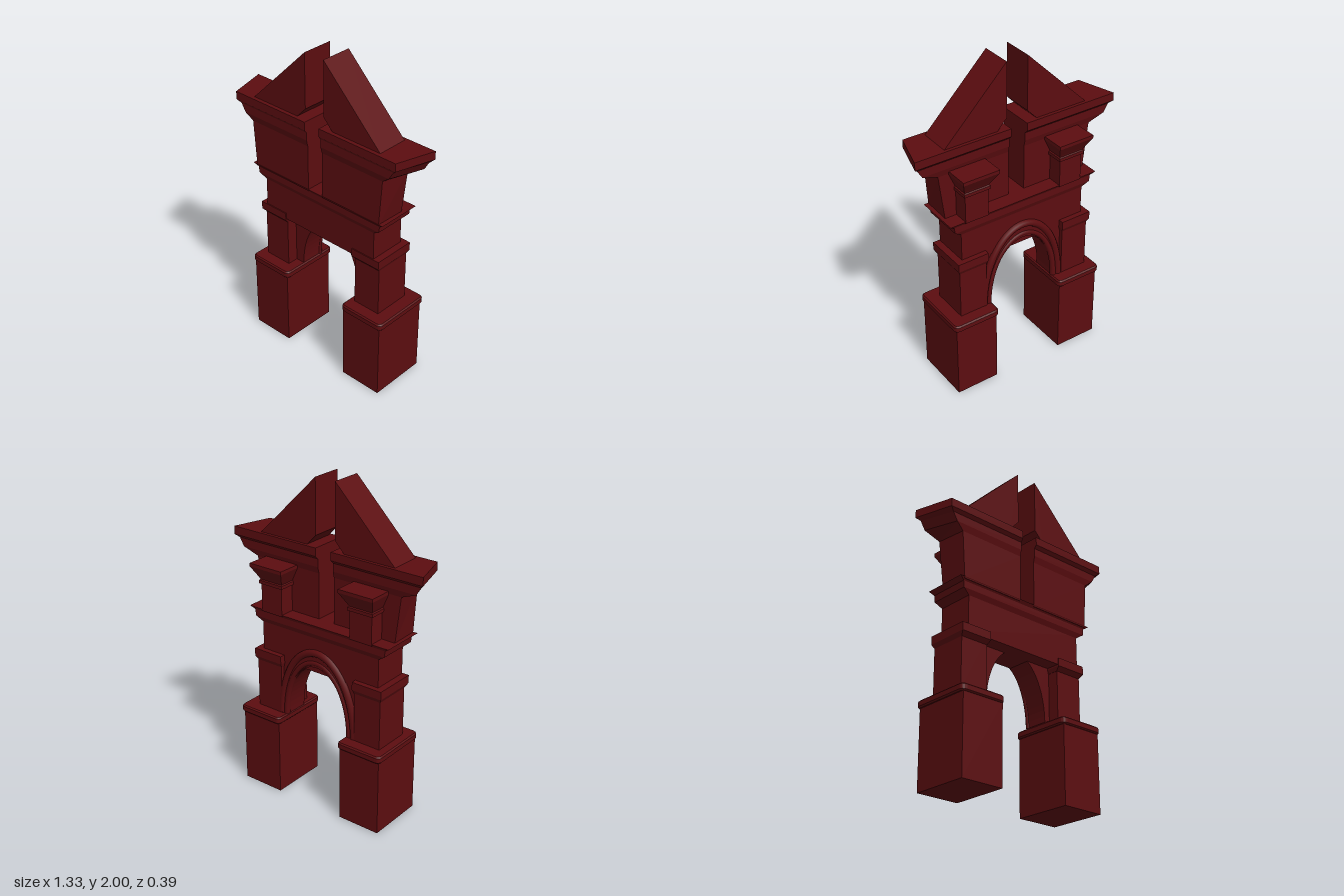
import * as THREE from 'three';

const stone = new THREE.MeshStandardMaterial({ color: 0x5c0d10, flatShading: true, side: THREE.DoubleSide });
const smoothStone = new THREE.MeshStandardMaterial({ color: 0x5c0d10 });

function add(parent, name, geometry, material = stone) {
  const mesh = new THREE.Mesh(geometry, material);
  mesh.name = name;
  parent.add(mesh);
  return mesh;
}

// Stack of four-cornered sections, each [y, x0, x1, zBack, zFront, x0Back, x1Back]
function stack(rows) {
  const rings = rows.map(([y, x0, x1, zb, zf, b0 = x0, b1 = x1]) =>
    [[x0, y, zf], [x1, y, zf], [b1, y, zb], [b0, y, zb]]);
  const pos = [];
  const quad = (a, b, c, d) => pos.push(...a, ...b, ...c, ...a, ...c, ...d);
  for (let r = 0; r < rings.length - 1; r++) {
    for (let i = 0; i < 4; i++) {
      const j = (i + 1) % 4;
      quad(rings[r][i], rings[r][j], rings[r + 1][j], rings[r + 1][i]);
    }
  }
  const top = rings[rings.length - 1], low = rings[0];
  quad(top[0], top[1], top[2], top[3]);
  quad(low[3], low[2], low[1], low[0]);
  const g = new THREE.BufferGeometry();
  g.setAttribute('position', new THREE.Float32BufferAttribute(pos, 3));
  g.computeVertexNormals();
  return g;
}

// Same stack, given as distances from the middle, on the chosen side
function sideStack(s, offset, rows) {
  return stack(rows.map(([y, a, b, zb, zf, bb = b]) => s > 0
    ? [y, offset + a, offset + b, zb, zf, offset + a, offset + bb]
    : [y, offset - b, offset - a, zb, zf, offset - bb, offset - a]));
}

// Slab with rounded plan corners and a small bevel
function roundedSlab(x0, x1, z0, z1, y0, y1, r, bevel) {
  const s = new THREE.Shape();
  const a = x0 + bevel, b = x1 - bevel, c = -z1 + bevel, d = -z0 - bevel;
  s.moveTo(a + r, c).lineTo(b - r, c).quadraticCurveTo(b, c, b, c + r);
  s.lineTo(b, d - r).quadraticCurveTo(b, d, b - r, d);
  s.lineTo(a + r, d).quadraticCurveTo(a, d, a, d - r);
  s.lineTo(a, c + r).quadraticCurveTo(a, c, a + r, c);
  const g = new THREE.ExtrudeGeometry(s, {
    depth: y1 - y0 - 2 * bevel, bevelSize: bevel, bevelThickness: bevel, bevelSegments: 1, curveSegments: 4,
  });
  return g.rotateX(-Math.PI / 2).translate(0, y0 + bevel, 0);
}

// Half-ellipse points, from the left springing to the right
function archPoints(a, b, n = 32) {
  const pts = [];
  for (let i = 0; i <= n; i++) {
    const t = Math.PI * (1 - i / n);
    pts.push(new THREE.Vector2(0.012 + a * Math.cos(t), 0.515 + b * Math.sin(t)));
  }
  return pts;
}

export function createModel() {
  const model = new THREE.Group();
  model.name = 'archway';

  for (const s of [-1, 1]) {
    const half = new THREE.Group();
    half.name = s > 0 ? 'leftHalf' : 'rightHalf';
    model.add(half);

    // Pedestal, its cap, the pier and the impost
    add(half, 'pedestal', sideStack(s, 0.015, [[0, 0.23, 0.505, -0.18, 0.185], [0.48, 0.23, 0.505, -0.18, 0.185]]));
    const e = [0.015 + s * 0.217, 0.015 + s * 0.52].sort((p, q) => p - q);
    add(half, 'pedestalCap', roundedSlab(e[0], e[1], -0.197, 0.195, 0.472, 0.516, 0.025, 0.008));
    add(half, 'pier', sideStack(s, 0, [[0.51, 0.27, 0.45, -0.12, 0.115], [0.86, 0.27, 0.45, -0.12, 0.115]]));
    add(half, 'impost', sideStack(s, 0, [
      [0.82, 0.268, 0.45, -0.12, 0.115],
      [0.845, 0.262, 0.463, -0.133, 0.138],
      [0.895, 0.262, 0.463, -0.133, 0.138],
    ]));

    // Upper wall flaring into the cornice, wider at the back
    add(half, 'upperWall', sideStack(s, 0, [
      [1.15, 0.053, 0.47, -0.03, 0.155, 0.475],
      [1.44, 0.053, 0.49, -0.03, 0.155, 0.51],
      [1.48, 0.053, 0.54, -0.04, 0.165, 0.61],
      [1.53, 0.053, 0.57, -0.04, 0.165, 0.64],
      [1.55, 0.053, 0.595, -0.06, 0.18, 0.663],
      [1.6, 0.053, 0.595, -0.06, 0.18, 0.663],
    ]));

    // Half of the broken pediment
    const p = new THREE.Shape([[0.47, 1.595], [0.47, 1.6], [0.068, 2], [0.068, 1.665], [0.13, 1.6], [0.13, 1.595]]
      .map(([x, y]) => new THREE.Vector2(s * x, y)));
    add(half, 'pediment', new THREE.ExtrudeGeometry(p, { depth: 0.195, bevelEnabled: false }).translate(0, 0, -0.04));

    // Short rear column with a flared capital
    add(half, 'rearColumn', sideStack(s, 0.008, [
      [1.15, 0.245, 0.395, -0.125, -0.02],
      [1.32, 0.245, 0.395, -0.125, -0.02],
      [1.325, 0.235, 0.405, -0.135, -0.02],
      [1.345, 0.235, 0.405, -0.135, -0.02],
      [1.35, 0.242, 0.398, -0.128, -0.02],
      [1.365, 0.235, 0.405, -0.135, -0.02],
      [1.435, 0.202, 0.435, -0.178, -0.02],
      [1.455, 0.202, 0.435, -0.178, -0.02],
    ]));
  }

  // Lintel block and the string course above it
  add(model, 'lintel', stack([[0.855, -0.42, 0.42, -0.1, 0.132], [1.09, -0.42, 0.42, -0.1, 0.132]]));
  add(model, 'stringCourse', stack([
    [1.07, -0.42, 0.42, -0.1, 0.132],
    [1.1, -0.465, 0.465, -0.112, 0.145],
    [1.14, -0.47, 0.47, -0.112, 0.145],
    [1.16, -0.5, 0.5, -0.124, 0.157],
  ]));

  // Arch jambs and spandrels filling the opening between the piers
  const fill = new THREE.Shape([
    new THREE.Vector2(0.28, 0.51), new THREE.Vector2(0.28, 0.92),
    new THREE.Vector2(-0.28, 0.92), new THREE.Vector2(-0.28, 0.51),
    ...archPoints(0.222, 0.37),
  ]);
  add(model, 'archSpandrel', new THREE.ExtrudeGeometry(fill, { depth: 0.14, bevelEnabled: false }).translate(0, 0, -0.095));

  // Rounded mouldings around the rear of the arch
  for (const [a, b, r] of [[0.268, 0.462, 0.023], [0.234, 0.4, 0.018]]) {
    const path = new THREE.CatmullRomCurve3(archPoints(a, b).map((v) => new THREE.Vector3(v.x, v.y, -0.1)));
    add(model, 'archMoulding', new THREE.TubeGeometry(path, 48, r, 10), smoothStone);
  }
  const band = new THREE.Shape([...archPoints(0.27, 0.465), ...archPoints(0.225, 0.375).reverse()]);
  add(model, 'archBand', new THREE.ExtrudeGeometry(band, { depth: 0.1, bevelEnabled: false }).translate(0, 0, -0.11));

  return model;
}
